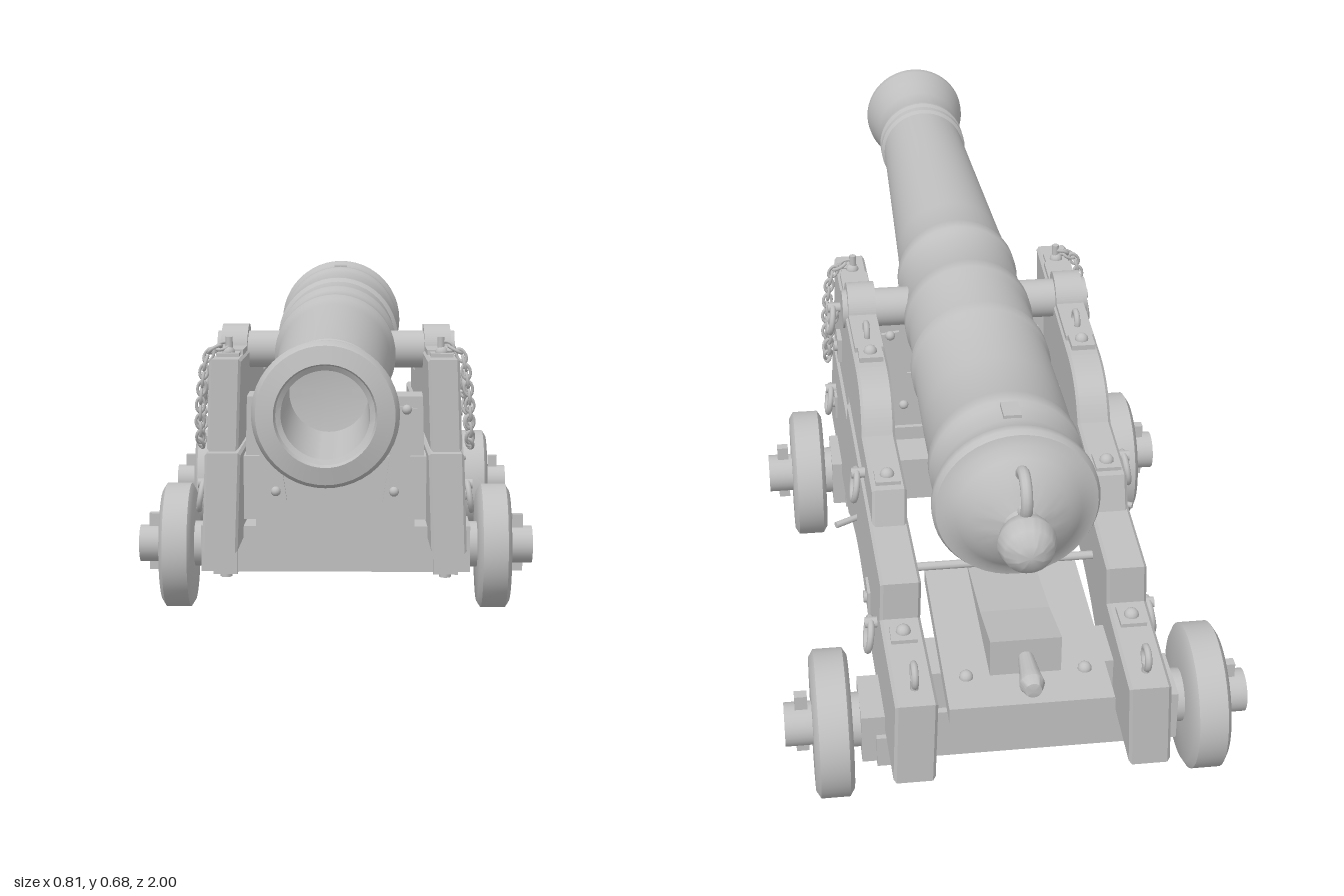
import * as THREE from 'three';
import { toCreasedNormals } from 'three/addons/utils/BufferGeometryUtils.js';

const grey = new THREE.MeshStandardMaterial({ color: 0xc0c0c0 });
grey.name = 'plain grey';

export function createModel() {
  const root = new THREE.Group();
  root.name = 'navalCannon';

  const add = (name, geo, x = 0, y = 0, z = 0, parent = root) => {
    const m = new THREE.Mesh(geo, grey);
    m.name = name;
    m.position.set(x, y, z);
    parent.add(m);
    return m;
  };
  const box = (name, w, h, d, x, y, z, parent) => add(name, new THREE.BoxGeometry(w, h, d), x, y, z, parent);
  const rodX = (name, r, len, x, y, z, seg = 24) =>
    add(name, new THREE.CylinderGeometry(r, r, len, seg).rotateZ(Math.PI / 2), x, y, z);
  const lathe = (pts, seg = 48) =>
    toCreasedNormals(new THREE.LatheGeometry(pts.map(p => new THREE.Vector2(p[0], p[1])), seg), 0.6);
  // Profile drawn in (z, y), extruded across x and centred on it
  const sideExtrude = (shape, width, bevel = 0) => {
    const depth = width - 2 * bevel;
    return new THREE.ExtrudeGeometry(shape, {
      depth, curveSegments: 16, bevelEnabled: bevel > 0, bevelThickness: bevel,
      bevelSize: bevel, bevelOffset: -bevel, bevelSegments: 1,
    }).translate(0, 0, -depth / 2).rotateY(-Math.PI / 2);
  };
  // The cheeks converge toward the rear and lean in toward the top
  const cheekX = (y, z) => 0.215 + 0.025 * z - 0.035 * (y - 0.35);
  const lean = (geo, s) => {
    const p = geo.attributes.position;
    for (let i = 0; i < p.count; i++) p.setX(i, p.getX(i) + s * cheekX(p.getY(i), p.getZ(i)));
    geo.computeVertexNormals();
    return geo;
  };

  // Barrel with mouldings, cascabel and hollow bore
  const gun = new THREE.Group();
  gun.name = 'gun';
  gun.position.set(0, 0.534, -0.037);
  gun.rotation.x = 0.005;
  root.add(gun);
  const profile = [
    [0, -0.935], [0.022, -0.931], [0.041, -0.915], [0.049, -0.89], [0.043, -0.868], [0.03, -0.853],
    [0.033, -0.842], [0.06, -0.83], [0.085, -0.816], [0.105, -0.8], [0.12, -0.785], [0.137, -0.78],
    [0.142, -0.77], [0.142, -0.757], [0.136, -0.747], [0.131, -0.72], [0.129, -0.67], [0.134, -0.66],
    [0.134, -0.63], [0.129, -0.62], [0.129, -0.5], [0.127, -0.33], [0.131, -0.32], [0.131, -0.29],
    [0.123, -0.28], [0.12, -0.15], [0.125, -0.13], [0.125, -0.1], [0.118, -0.085], [0.116, 0.05],
    [0.121, 0.06], [0.121, 0.09], [0.115, 0.105], [0.11, 0.2], [0.1, 0.5], [0.092, 0.75],
    [0.098, 0.757], [0.098, 0.772], [0.092, 0.78], [0.092, 0.79], [0.098, 0.797], [0.097, 0.81],
    [0.093, 0.82], [0.096, 0.87], [0.104, 0.92], [0.114, 0.965], [0.115, 0.98], [0.108, 0.993],
    [0.08, 1], [0.077, 0.99], [0.069, 0.985], [0.067, 0.7], [0, 0.69],
  ];
  add('barrel', lathe(profile).rotateX(Math.PI / 2), 0, 0, 0.037, gun);
  add('breechRing', new THREE.TorusGeometry(0.036, 0.01, 10, 28).rotateY(Math.PI / 2), 0, 0.066, -0.808, gun);
  box('ventPatch', 0.03, 0.012, 0.045, 0, 0.13, -0.655, gun);

  // Transom between the cheeks, braced on both faces
  box('lowerTransom', 0.365, 0.128, 0.09, 0, 0.271, 0.085);
  const upper = new THREE.Shape();
  upper.moveTo(-0.178, 0.337);
  upper.lineTo(0.178, 0.337);
  upper.lineTo(0.175, 0.455);
  upper.lineTo(0.1, 0.455);
  upper.quadraticCurveTo(0, 0.375, -0.1, 0.455);
  upper.lineTo(-0.175, 0.455);
  add('upperTransom', new THREE.ExtrudeGeometry(upper, { depth: 0.09, bevelEnabled: false }), 0, 0, 0.04);
  box('transomFoot', 0.32, 0.03, 0.08, 0, 0.195, 0.07);

  // Bed, quoin and its handle
  box('bedBoard', 0.274, 0.03, 0.4, 0, 0.268, -0.78);
  box('rearTransom', 0.32, 0.08, 0.1, 0, 0.215, -0.8);
  rodX('crossBolt', 0.008, 0.42, 0, 0.3, -0.6, 10);
  const wedge = new THREE.Shape();
  wedge.moveTo(-0.9, 0.283);
  wedge.lineTo(-0.55, 0.283);
  wedge.lineTo(-0.77, 0.318);
  wedge.lineTo(-0.9, 0.352);
  add('quoin', sideExtrude(wedge, 0.12));
  add('quoinHandle', lathe([[0, -0.05], [0.014, -0.047], [0.021, -0.03], [0.018, -0.01], [0.012, 0.05]], 20)
    .rotateX(Math.PI / 2), 0, 0.315, -0.94);

  // Axle beams
  for (const z of [0.005, -0.805]) box(z > 0 ? 'frontAxle' : 'rearAxle', 0.55, 0.095, 0.115, 0, 0.133, z);

  // Cheek outlines
  const lowerCheek = new THREE.Shape();
  lowerCheek.moveTo(0.195, 0.15);
  lowerCheek.lineTo(0.195, 0.35);
  lowerCheek.lineTo(-0.15, 0.35);
  lowerCheek.lineTo(-0.15, 0.385);
  lowerCheek.lineTo(-0.765, 0.385);
  lowerCheek.lineTo(-0.765, 0.312);
  lowerCheek.lineTo(-1, 0.312);
  lowerCheek.lineTo(-1, 0.153);
  lowerCheek.lineTo(-0.65, 0.15);
  lowerCheek.quadraticCurveTo(-0.55, 0.202, -0.42, 0.202);
  lowerCheek.quadraticCurveTo(-0.3, 0.202, -0.2, 0.153);
  const upperCheek = new THREE.Shape();
  upperCheek.moveTo(0.195, 0.354);
  upperCheek.lineTo(0.195, 0.535);
  upperCheek.lineTo(-0.28, 0.535);
  upperCheek.bezierCurveTo(-0.36, 0.53, -0.38, 0.5, -0.4, 0.457);
  upperCheek.lineTo(-0.58, 0.455);
  upperCheek.lineTo(-0.595, 0.388);
  upperCheek.lineTo(-0.147, 0.388);
  upperCheek.lineTo(-0.147, 0.354);

  // Strap that arches over the trunnion
  const cap = new THREE.Shape();
  cap.moveTo(0.1, 0.534);
  cap.lineTo(0.1, 0.545);
  cap.lineTo(0.014, 0.545);
  cap.absarc(-0.037, 0.534, 0.052, 0.21, Math.PI - 0.21, false);
  cap.lineTo(-0.22, 0.545);
  cap.lineTo(-0.22, 0.534);

  const wheelProfile = [[0.037, -0.033], [0.115, -0.033], [0.128, -0.025], [0.128, 0.025],
    [0.115, 0.033], [0.037, 0.033]];

  for (const s of [1, -1]) {
    add('lowerCheek', lean(sideExtrude(lowerCheek, 0.07, 0.005), s));
    add('upperCheek', lean(sideExtrude(upperCheek, 0.062, 0.005), s));
    add('trunnionCap', lean(sideExtrude(cap, 0.054), s));
    rodX('trunnion', 0.038, 0.15, s * 0.168, 0.534, -0.037, 32);

    // Diagonal braces with bolts on the transom
    for (const z of [0.133, 0.037]) {
      const brace = box('transomBrace', 0.04, 0.195, 0.01, s * 0.13, 0.338, z);
      brace.rotation.z = -s * 0.15;
      for (const [x, y] of [[0.143, 0.43], [0.118, 0.265]])
        add('braceBolt', new THREE.SphereGeometry(0.01, 12, 8), s * x, y, z > 0.1 ? z + 0.005 : z - 0.005);
    }
    add('bedBolt', new THREE.SphereGeometry(0.012, 12, 8), s * 0.1, 0.284, -0.9);

    // Wheels, axle arms, linchpins and axle straps
    for (const z of [0.005, -0.805]) {
      add('wheel', lathe(wheelProfile, 40).rotateZ(-Math.PI / 2), s * 0.324, 0.13, z);
      rodX('axleArm', 0.038, 0.15, s * 0.33, 0.133, z);
      rodX('axleCollar', 0.047, 0.022, s * 0.28, 0.133, z);
      box('linchpin', 0.022, 0.118, 0.018, s * 0.375, 0.138, z);
      box('axleStrap', 0.05, 0.06, 0.135, s * 0.225, 0.112, z);
      for (const dz of [-0.04, 0.04])
        add('strapBolt', new THREE.CylinderGeometry(0.012, 0.012, 0.012, 8), s * 0.225, 0.078, z + dz);
    }

    // Square washers with bolts on the outer faces
    for (const [y, z] of [[0.415, 0.03], [0.25, 0.085], [0.235, -0.59]]) {
      const x = s * (cheekX(y, z) + 0.034);
      box('washerPlate', 0.01, 0.05, 0.05, x, y, z);
      rodX('washerBolt', 0.011, 0.022, x, y, z, 8);
    }
    const pin = rodX('sidePin', 0.006, 0.06, s * (cheekX(0.255, -0.37) + 0.05), 0.255, -0.37, 8);
    pin.rotation.y = s * 0.5;

    // Plates and bolts along the cheek tops
    for (const [y, z] of [[0.312, -0.81], [0.455, -0.54], [0.54, -0.24], [0.535, 0.12]]) {
      const x = s * cheekX(y, z);
      box('topPlate', 0.045, 0.01, 0.05, x, y + 0.002, z);
      add('topBolt', new THREE.SphereGeometry(0.013, 12, 8), x, y + 0.007, z);
    }
    // Plates under the cheeks
    for (const [y, z] of [[0.151, -0.13], [0.195, -0.52], [0.151, -0.68], [0.151, -0.93], [0.151, 0.13]])
      box('bottomPlate', 0.045, 0.012, 0.045, s * cheekX(y, z), y, z);

    // Ring bolts on the sides
    for (const [y, z] of [[0.39, -0.455], [0.25, -0.72], [0.25, 0.1], [0.465, 0.055]]) {
      const x = s * (cheekX(y, z) + 0.035);
      rodX('ringStud', 0.01, 0.04, x, y + 0.025, z, 10);
      const ring = add('sideRing', new THREE.TorusGeometry(0.029, 0.006, 8, 24).rotateY(Math.PI / 2), x + s * 0.014, y, z);
      ring.rotation.z = s * 0.15;
    }
    // Eye bolts on top
    for (const [y, z] of [[0.34, -0.955], [0.548, -0.165]]) {
      const x = s * cheekX(y, z);
      add('eyeBolt', new THREE.TorusGeometry(0.018, 0.006, 8, 20).rotateY(Math.PI / 2), x, y, z);
      add('eyeStem', new THREE.CylinderGeometry(0.007, 0.007, 0.03, 8), x, y - 0.025, z);
    }

    // Key pin at the cheek front and its hanging chain
    add('capKey', new THREE.CylinderGeometry(0.007, 0.007, 0.05, 8), s * 0.21, 0.548, 0.12);
    const path = new THREE.CatmullRomCurve3([[0.215, 0.558, 0.12], [0.248, 0.54, 0.125], [0.265, 0.47, 0.125],
      [0.27, 0.38, 0.112], [0.27, 0.355, 0.095], [0.268, 0.39, 0.078], [0.262, 0.44, 0.065], [0.25, 0.485, 0.055]]
      .map(([x, y, z]) => new THREE.Vector3(s * x, y, z)));
    const links = 22;
    for (let i = 0; i < links; i++) {
      const t = (i + 0.5) / links;
      const link = add('chainLink', new THREE.TorusGeometry(0.01, 0.0035, 6, 14).scale(1.35, 0.85, 1));
      link.position.copy(path.getPointAt(t));
      link.quaternion.setFromUnitVectors(new THREE.Vector3(1, 0, 0), path.getTangentAt(t));
      link.rotateX((i % 2) * Math.PI / 2);
    }
  }
  return root;
}
